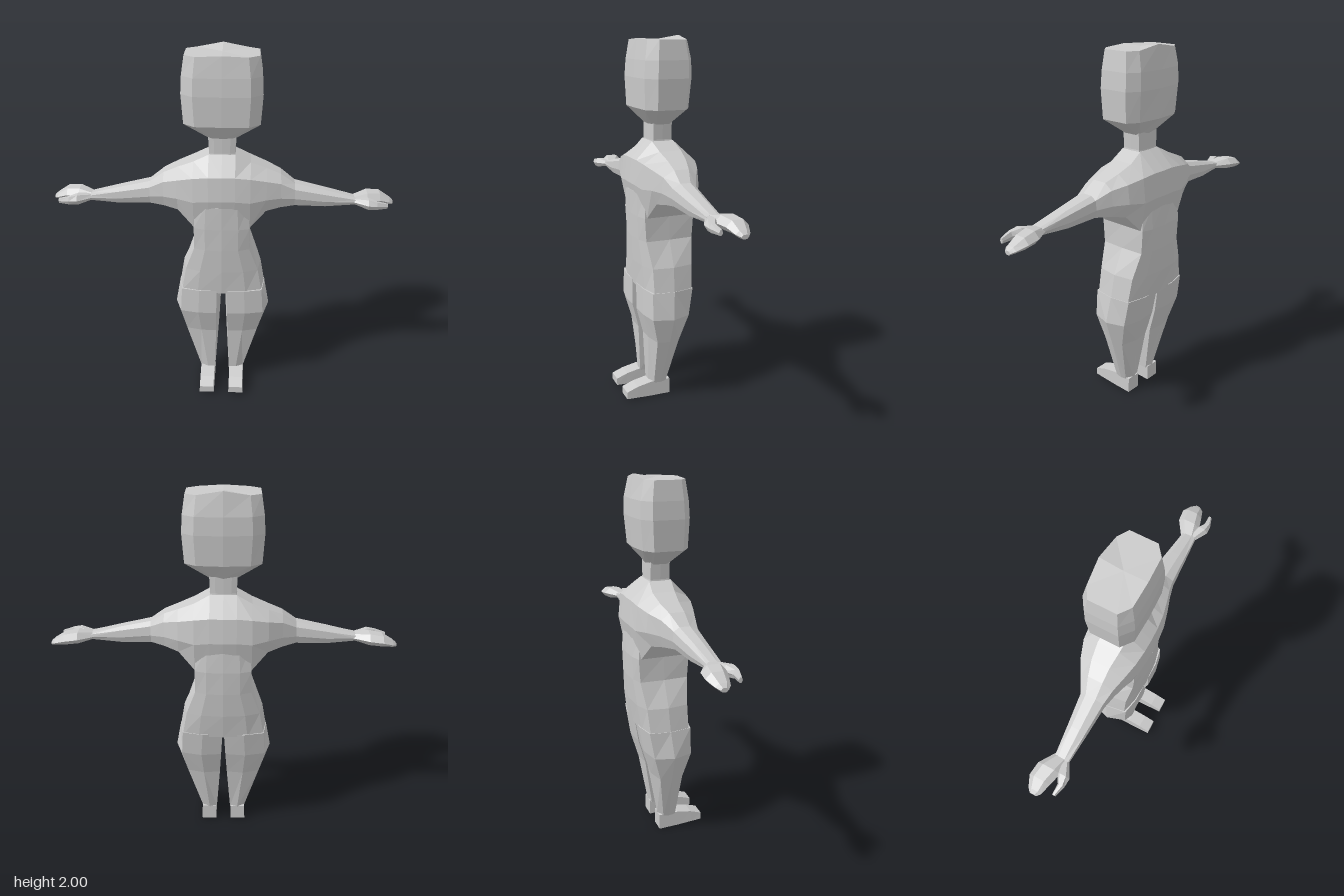
import * as THREE from 'three';

const material = new THREE.MeshStandardMaterial({ color: 0xcccccc, flatShading: true });

// Skin a row of equal-length rings of [x, y, z] points and close both ends.
function loft(name, rings) {
  const tris = [];
  const n = rings[0].length;
  const middle = (ring) => [0, 1, 2].map((k) => ring.reduce((s, p) => s + p[k], 0) / n);
  for (let i = 0; i < rings.length - 1; i++) {
    for (let j = 0; j < n; j++) {
      const a = rings[i][j], b = rings[i][(j + 1) % n];
      const c = rings[i + 1][(j + 1) % n], d = rings[i + 1][j];
      tris.push([a, b, c], [a, c, d]);
    }
  }
  const first = rings[0], last = rings[rings.length - 1];
  for (let j = 0; j < n; j++) {
    const k = (j + 1) % n;
    tris.push([first[k], first[j], middle(first)], [last[j], last[k], middle(last)]);
  }
  // A negative volume means the corners run the wrong way round
  const vol = tris.reduce((s, [a, b, c]) => s
    + a[0] * (b[1] * c[2] - b[2] * c[1])
    + a[1] * (b[2] * c[0] - b[0] * c[2])
    + a[2] * (b[0] * c[1] - b[1] * c[0]), 0);
  if (vol < 0) tris.forEach((t) => t.reverse());
  const geometry = new THREE.BufferGeometry();
  geometry.setAttribute('position', new THREE.Float32BufferAttribute(tris.flat(2), 3));
  geometry.computeVertexNormals();
  const mesh = new THREE.Mesh(geometry, material);
  mesh.name = name;
  return mesh;
}

// Horizontal ring, symmetric in x: y, side half width, corner half width,
// front and back z, and how far the corners draw back from them
function bodyRing([y, w, c, zf, zb, cut]) {
  const half = [[0, zf], [c * 0.6, zf - cut * 0.25], [c, zf - cut], [w, (zf + zb) / 2],
    [c, zb + cut], [c * 0.6, zb + cut * 0.25], [0, zb]];
  const other = half.slice(1, -1).reverse().map(([x, z]) => [-x, z]);
  return [...half, ...other].map(([x, z]) => [x, y, z]);
}

// Ring across the arm: x, top, upper, lower, bottom heights,
// front and back z, front and back z of the top edge
function armRing([x, yt, yu, yl, yb, zf, zb, tf, tb]) {
  const mid = (zf + zb) / 2;
  const bf = mid + (zf - mid) * 0.8, bb = mid + (zb - mid) * 0.8;
  return [[yt, tf], [yt, tb], [yu, zb * 0.92 + mid * 0.08], [yl, zb],
    [yb, bb], [yb, bf], [yl, zf], [yu, zf * 0.92 + mid * 0.08]].map(([y, z]) => [x, y, z]);
}

// Hexagonal finger ring: x, bottom and top heights, back and front z
function handRing([x, y0, y1, z0, z1]) {
  const ym = (y0 + y1) / 2, in0 = z0 + (z1 - z0) * 0.25, in1 = z1 - (z1 - z0) * 0.25;
  return [[y1, in0], [y1, in1], [ym, z1], [y0, in1], [y0, in0], [ym, z0]]
    .map(([y, z]) => [x, y, z]);
}

// Head ring: a long-sided octagon with middle points front and back
function headRing([y, w, zf, zb, rise]) {
  const c = w * 0.7, cut = (zf - zb) * 0.2;
  return [[0, zf], [c, zf - 0.005], [w, zf - cut], [w, zb + cut], [c, zb + 0.012], [0, zb],
    [-c, zb + 0.012], [-w, zb + cut], [-w, zf - cut], [-c, zf - 0.005]]
    .map(([x, z]) => [x, y + (x === 0 ? rise * (z < 0 ? 1 : 0.3) : 0), z]);
}

// Leg ring: y, inner front x, inner back x, corner x, outer x, front z, back z
function legRing([y, xi, xb, xc, xo, zf, zb]) {
  return [[xi, zf], [(xi + xc) / 2, zf], [xc, zf - 0.02], [xo, (zf + zb) / 2],
    [xc, zb + 0.025], [(xb + xc) / 2, zb], [xb, zb + 0.012]].map(([x, z]) => [x, y, z]);
}

export function createModel() {
  const model = new THREE.Group();
  model.name = 'figure';

  model.add(loft('head', [
    [1.55, 0.075, 0.03, -0.09, 0],
    [1.635, 0.195, 0.1, -0.157, 0],
    [1.79, 0.205, 0.106, -0.17, 0],
    [1.88, 0.2, 0.1, -0.168, 0],
    [1.978, 0.185, 0.085, -0.148, 0.022],
  ].map(headRing)));

  model.add(loft('neck', [
    [1.42, 0.08, 0.075, 0.035, -0.1, 0.01],
    [1.47, 0.07, 0.068, 0.03, -0.09, 0.008],
    [1.56, 0.074, 0.072, 0.03, -0.09, 0.008],
  ].map(bodyRing)));

  model.add(loft('torso', [
    [0.655, 0.243, 0.225, 0.108, -0.168, 0.03],
    [0.8, 0.218, 0.2, 0.118, -0.19, 0.04],
    [0.94, 0.155, 0.15, 0.125, -0.2, 0.03],
    [1.07, 0.15, 0.15, 0.128, -0.203, 0.025],
    [1.2, 0.14, 0.14, 0.13, -0.195, 0.03],
  ].map(bodyRing)));

  for (const side of [1, -1]) {
    const word = side > 0 ? 'left' : 'right';
    const add = (part, rings) => model.add(
      loft(word + part, rings.map((r) => r.map(([x, y, z]) => [x * side, y, z]))));

    // Chest half, shoulder and arm run out as one tapering piece
    add('ShoulderAndArm', [
      [0, 1.465, 1.37, 1.24, 1.07, 0.135, -0.208, 0.03, -0.09],
      [0.07, 1.463, 1.37, 1.24, 1.07, 0.133, -0.205, 0.03, -0.09],
      [0.15, 1.42, 1.36, 1.23, 1.07, 0.123, -0.196, 0.02, -0.1],
      [0.235, 1.385, 1.34, 1.24, 1.165, 0.1, -0.165, 0.01, -0.09],
      [0.31, 1.353, 1.32, 1.24, 1.18, 0.076, -0.12, 0.01, -0.07],
      [0.385, 1.3, 1.28, 1.23, 1.188, 0.058, -0.08, 0.01, -0.045],
      [0.55, 1.263, 1.248, 1.21, 1.18, 0.046, -0.062, 0.01, -0.035],
      [0.71, 1.224, 1.218, 1.205, 1.19, 0.035, -0.045, 0.01, -0.025],
    ].map(armRing));

    add('Hand', [
      [0.69, 1.19, 1.222, -0.045, 0.033],
      [0.775, 1.178, 1.24, -0.1, 0.025],
      [0.845, 1.175, 1.232, -0.108, 0.005],
      [0.9, 1.168, 1.2, -0.085, -0.012],
      [0.92, 1.165, 1.185, -0.068, -0.03],
    ].map(handRing));

    add('Thumb', [
      [0.7, 1.192, 1.22, -0.01, 0.035],
      [0.775, 1.175, 1.23, 0.005, 0.076],
      [0.82, 1.178, 1.22, 0.036, 0.073],
      [0.878, 1.18, 1.205, 0.036, 0.055],
    ].map(handRing));

    add('Leg', [
      [0.67, 0.028, 0.004, 0.225, 0.243, 0.108, -0.17],
      [0.52, 0.031, 0.012, 0.235, 0.27, 0.11, -0.145],
      [0.37, 0.034, 0.02, 0.205, 0.222, 0.072, -0.102],
      [0.08, 0.042, 0.04, 0.125, 0.13, 0.06, -0.055],
    ].map(legRing));

    // Foot sections run from heel to toe
    add('Foot', [
      [-0.055, 0, 0.09], [0.06, 0.003, 0.09], [0.14, 0.008, 0.075], [0.205, 0.012, 0.052],
    ].map(([z, y0, y1]) => [[0.043, y0, z], [0.128, y0, z], [0.126, y1, z], [0.045, y1, z]]));
  }
  return model;
}
